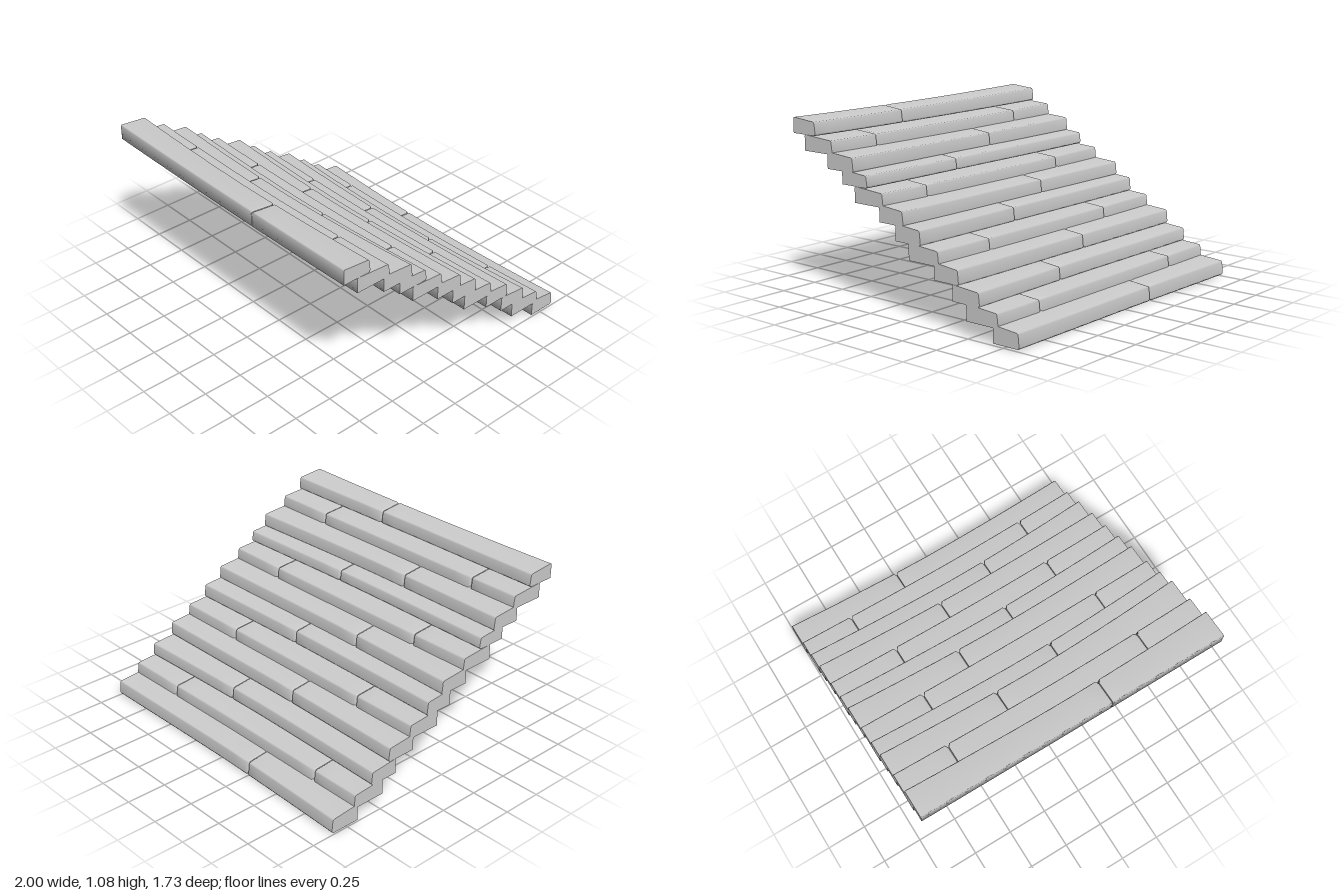
import * as THREE from 'three';

// Each tread: [front z, back z at -x end, back z at middle, back z at +x end, bottom y, top y, joint x...]
const TREADS = [
  [0.865, 0.68, 0.70, 0.68, 0.985, 1.08, 0.245],
  [0.77, 0.545, 0.557, 0.54, 0.89, 0.985, -0.655, 0.615],
  [0.58, 0.385, 0.41, 0.37, 0.805, 0.905, -0.245],
  [0.46, 0.27, 0.295, 0.26, 0.73, 0.815, 0.195],
  [0.36, 0.14, 0.147, 0.135, 0.635, 0.73, -0.59, 0.615],
  [0.165, -0.03, 0.0, -0.02, 0.55, 0.65, -0.26],
  [0.04, -0.145, -0.122, -0.15, 0.46, 0.56, 0.145],
  [-0.06, -0.28, -0.27, -0.285, 0.365, 0.465, -0.55, 0.545],
  [-0.25, -0.44, -0.414, -0.43, 0.285, 0.385, -0.15],
  [-0.385, -0.57, -0.545, -0.58, 0.19, 0.285, 0.245],
  [-0.485, -0.70, -0.69, -0.71, 0.098, 0.195, -0.655, 0.615],
  [-0.675, -0.865, -0.835, -0.855, 0.012, 0.115, -0.245],
];

// Cross-section of a worn tread at x; inset pulls in the top and back edges at a joint
function section(t, x, inset) {
  const [front, backL, backM, backR, y0, y1] = t;
  const end = x < 0 ? backL : backR;
  const back = backM + (end - backM) * Math.pow(Math.abs(x), 1.6) + inset;
  const sag = 0.01 * (1 - x * x);
  const lo = y0 - sag, hi = y1 - sag - inset * 0.4;
  return [
    [front, lo], [front, hi - 0.006], [front - 0.006, hi],
    [back + 0.014, hi - 0.014], [back + 0.007, hi - 0.022], [back, lo + 0.012], [back + 0.008, lo],
  ];
}

// One stone block lofted between two x positions
function blockGeometry(t, xa, xb, jointA, jointB) {
  const stations = [xa, xa + 0.012];
  const n = Math.max(3, Math.round((xb - xa) * 8));
  for (let i = 1; i < n; i++) stations.push(xa + (xb - xa) * i / n);
  stations.push(xb - 0.012, xb);
  const last = stations.length - 1;
  const rings = stations.map((x, i) => {
    const inset = (i === 0 && jointA) || (i === last && jointB) ? 0.016 : 0;
    return section(t, x, inset).map(([z, y]) => [x, y, z]);
  });
  const m = rings[0].length;
  const pos = rings.flat(2);
  const index = [];
  for (let i = 0; i < last; i++) {
    for (let j = 0; j < m; j++) {
      const k = (j + 1) % m;
      const a = i * m + j, b = i * m + k, c = a + m, d = b + m;
      index.push(a, c, b, b, c, d);
    }
  }
  // end caps with their own vertices
  const capA = pos.length / 3;
  pos.push(...rings[0].flat(), ...rings[last].flat());
  const capB = capA + m;
  for (let j = 1; j < m - 1; j++) {
    index.push(capA, capA + j, capA + j + 1, capB, capB + j + 1, capB + j);
  }
  const g = new THREE.BufferGeometry();
  g.setAttribute('position', new THREE.Float32BufferAttribute(pos, 3));
  g.setIndex(index);
  g.computeVertexNormals();
  return g;
}

export function createModel() {
  const model = new THREE.Group();
  model.name = 'stoneStairs';
  const stone = new THREE.MeshStandardMaterial({ color: 0xcccccc });
  stone.name = 'pale stone';

  TREADS.forEach((t, s) => {
    const tread = new THREE.Group();
    tread.name = `tread${s + 1}`;
    const cuts = [-1, ...t.slice(6), 1];
    for (let i = 0; i < cuts.length - 1; i++) {
      const first = i === 0, final = i === cuts.length - 2;
      const xa = cuts[i] + (first ? 0 : 0.002);
      const xb = cuts[i + 1] - (final ? 0.004 : 0.002);
      const block = new THREE.Mesh(blockGeometry(t, xa, xb, !first, !final), stone);
      block.name = `block${i + 1}`;
      tread.add(block);
    }
    model.add(tread);
  });
  return model;
}
